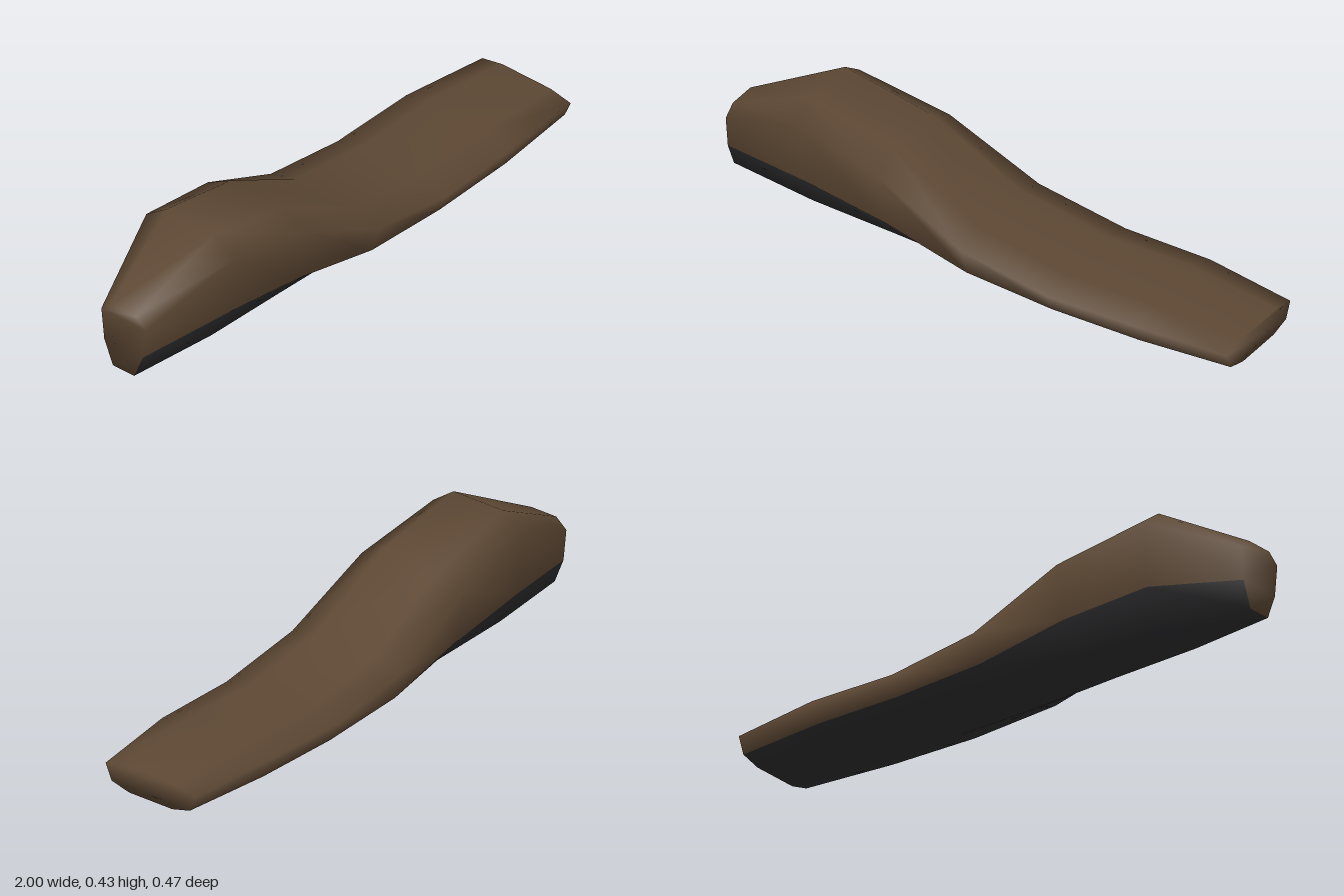
import * as THREE from 'three';

// One row per station: x, half width, then heights of top, shoulder, lower edge, bottom
const STATIONS = [
  [-1.0, 0.095, 0.255, 0.22, 0.105, 0.015],
  [-0.667, 0.19, 0.43, 0.37, 0.145, 0.018],
  [-0.333, 0.215, 0.355, 0.302, 0.113, 0.015],
  [0, 0.232, 0.175, 0.145, 0.045, 0.005],
  [0.333, 0.234, 0.12, 0.092, 0.025, 0.0],
  [0.667, 0.228, 0.124, 0.096, 0.025, 0.002],
  [1.0, 0.19, 0.097, 0.08, 0.023, 0.004],
];
// Width of each corner as a share of the half width
const SPREAD = [0.55, 1, 0.87, 0.48];
const RING = 8;

function loftGeometry() {
  const positions = [];
  for (const [x, half, ...heights] of STATIONS) {
    const side = heights.map((y, i) => [x, y, half * SPREAD[i]]);
    const mirrored = side.map(([px, y, z]) => [px, y, -z]).reverse();
    positions.push(...[...side, ...mirrored].flat());
  }

  const upper = [];
  const under = [];
  const last = (STATIONS.length - 1) * RING;
  for (let s = 0; s < last; s += RING) {
    for (let i = 0; i < RING; i++) {
      const j = (i + 1) % RING;
      const faces = i >= 2 && i <= 4 ? under : upper;
      const a = s + i, b = s + j, c = b + RING, d = a + RING;
      faces.push(a, b, c, a, c, d);
    }
  }
  // Flat ends, built as strips across the width
  for (let i = 0; i < 3; i++) {
    const a = i, b = i + 1, c = RING - 2 - i, d = RING - 1 - i;
    upper.push(a, c, b, a, d, c);
    upper.push(last + a, last + b, last + c, last + a, last + c, last + d);
  }

  const geometry = new THREE.BufferGeometry();
  geometry.setAttribute('position', new THREE.Float32BufferAttribute(positions, 3));
  geometry.setIndex([...upper, ...under]);
  geometry.addGroup(0, upper.length, 0);
  geometry.addGroup(upper.length, under.length, 1);
  geometry.computeVertexNormals();
  return geometry;
}

export function createModel() {
  const brown = new THREE.MeshStandardMaterial({ color: 0x5c4733 });
  brown.name = 'brown';
  const charcoal = new THREE.MeshStandardMaterial({ color: 0x2a2a2c });
  charcoal.name = 'charcoal';

  const group = new THREE.Group();
  group.name = 'taperedHumpedBody';
  // Brown upper shell and charcoal underside share one smooth surface
  const body = new THREE.Mesh(loftGeometry(), [brown, charcoal]);
  body.name = 'body';
  group.add(body);
  return group;
}
